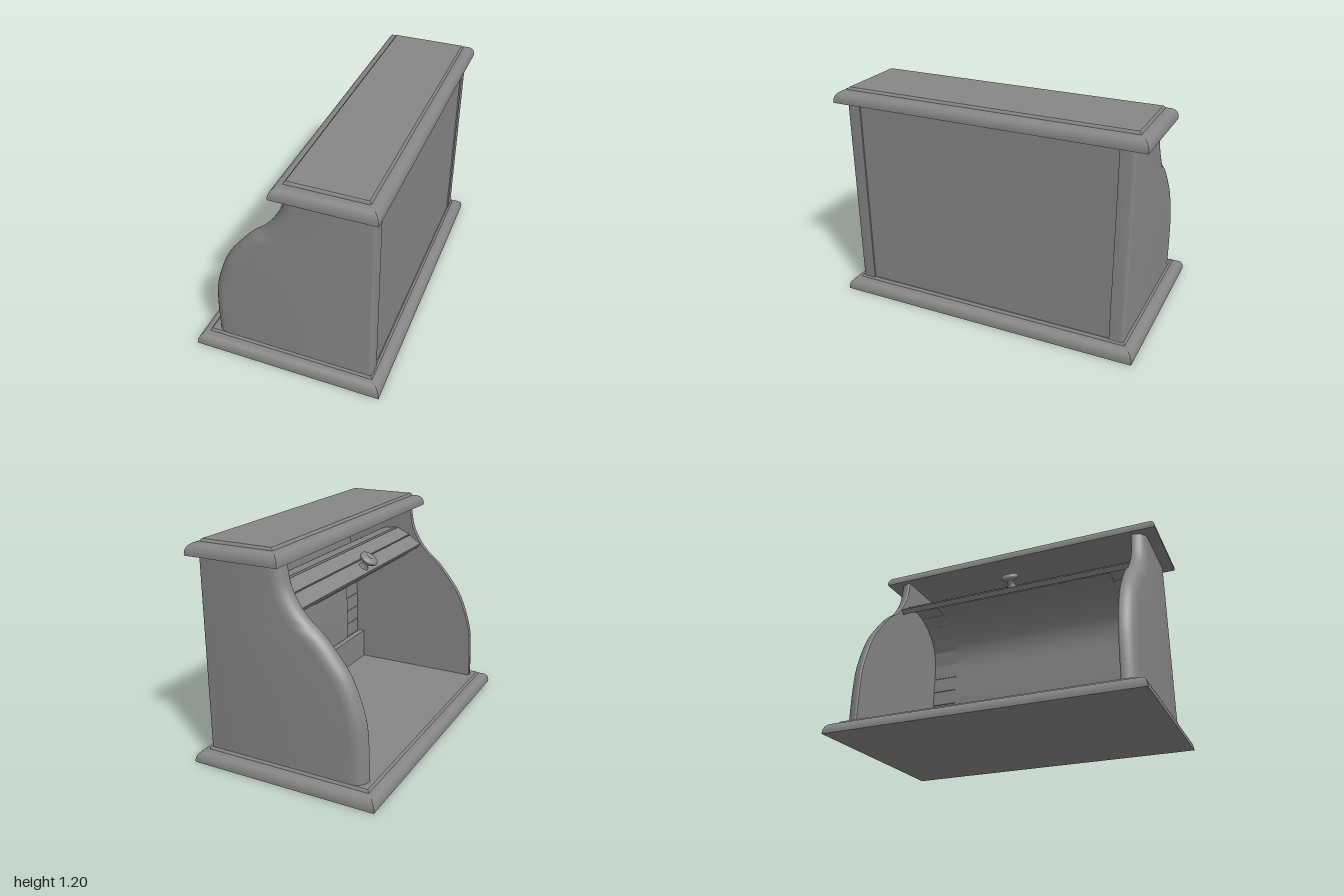
import * as THREE from 'three';
import { toCreasedNormals } from 'three/addons/utils/BufferGeometryUtils.js';

const material = new THREE.MeshStandardMaterial({ color: 0x868686 });
const cloth = new THREE.MeshStandardMaterial({ color: 0x868686, side: THREE.DoubleSide });

function addMesh(parent, name, geometry, x = 0, y = 0, z = 0, mat = material) {
  const mesh = new THREE.Mesh(geometry, mat);
  mesh.name = name;
  mesh.position.set(x, y, z);
  parent.add(mesh);
  return mesh;
}

// Points on a curve through [z, y] pairs
const curveZY = (points) => new THREE.CatmullRomCurve3(
  points.map(([z, y]) => new THREE.Vector3(0, y, z)));

// Closed solid from convex rings of [x, y, z], stacked upward, counterclockwise from above
function loft(rings) {
  const n = rings[0].length, index = [];
  const last = (rings.length - 1) * n;
  for (let r = 0; r < rings.length - 1; r++) {
    for (let i = 0; i < n; i++) {
      const a = r * n + i, b = r * n + (i + 1) % n;
      index.push(a, b, b + n, a, b + n, a + n);
    }
  }
  for (let i = 1; i < n - 1; i++) {
    index.push(0, i + 1, i, last, last + i, last + i + 1);
  }
  const geometry = new THREE.BufferGeometry();
  geometry.setAttribute('position', new THREE.Float32BufferAttribute(rings.flat(2), 3));
  geometry.setIndex(index);
  return toCreasedNormals(geometry, 0.5);
}

// Board with a quarter-round edge and a small step, mitred at the corners
function mouldedBoard(halfWidth, z0, z1, y0) {
  const edge = [[0, 0]];
  for (let i = 0; i <= 8; i++) {
    const t = (i / 8) * Math.PI / 2;
    edge.push([0.045 * (1 - Math.cos(t)), 0.01 + 0.052 * Math.sin(t)]);
  }
  edge.push([0.055, 0.064], [0.058, 0.072], [0.064, 0.078]);
  return loft(edge.map(([d, h]) => {
    const x = halfWidth - d, y = y0 + h;
    return [[x, y, z1 - d], [x, y, z0 + d], [-x, y, z0 + d], [-x, y, z1 - d]];
  }));
}

// Side wall: straight back, S-curved opening edge rounded over towards the outside
const sideCurve = curveZY([
  [-0.435, 0.07], [-0.432, 0.25], [-0.417, 0.4], [-0.345, 0.6], [-0.275, 0.7], [-0.188, 0.8],
  [-0.127, 0.85], [-0.075, 0.91], [-0.025, 1.0], [0.002, 1.13],
]);

function sideWall(sign) {
  const inner = 0.712, outer = 0.79, back = 0.462;
  // Quarter ellipse around a centre, widened in z where the edge slopes
  const corner = (cx, cz, rx, rz, start, steps) => Array.from({ length: steps + 1 }, (_, i) => {
    const t = start + (i / steps) * Math.PI / 2;
    return [cx + rx * Math.cos(t), cz - rz * Math.sin(t)];
  });
  const rings = [];
  for (let k = 0; k <= 40; k++) {
    const p = sideCurve.getPoint(k / 40);
    const rz = 0.07 / sideCurve.getTangent(k / 40).y;
    const ring = [
      [inner, back],
      ...corner(outer - 0.018, back - 0.018, 0.018, 0.018, -Math.PI / 2, 4),
      ...corner(outer - 0.07, p.z + rz, 0.07, rz, 0, 8),
      [inner, p.z + 0.004],
    ].map(([x, z]) => [sign * x, p.y, z]);
    rings.push(sign > 0 ? ring : ring.reverse());
  }
  return loft(rings);
}

// Track the slatted shutter follows when rolled back: up, over an arch, down the rear
const track = curveZY([
  [-0.064, 0.889], [-0.012, 0.923], [0.045, 0.958], [0.095, 0.975], [0.155, 0.97],
  [0.255, 0.925], [0.342, 0.845], [0.385, 0.735], [0.385, 0.45], [0.385, 0.16],
]);

// Puts an object on the track, its +z side towards the inside
function placeOnTrack(object, u) {
  const t = track.getTangentAt(u);
  object.position.copy(track.getPointAt(u));
  object.rotation.x = Math.atan2(t.z, t.y);
}

function rollShutter() {
  const shutter = new THREE.Group();
  shutter.name = 'rollShutter';

  // Slats, the first one carrying the knob
  const count = Math.round(track.getLength() / 0.09);
  const pitch = track.getLength() / count;
  const slatGeometry = new THREE.BoxGeometry(1.425, pitch - 0.003, 0.03);
  for (let i = 0; i < count; i++) {
    const slat = addMesh(shutter, 'slat', slatGeometry);
    placeOnTrack(slat, (i + 0.5) / count);
    if (i === 0) {
      const knobProfile = [
        [0.028, 0], [0.02, 0.014], [0.02, 0.034], [0.044, 0.044], [0.053, 0.055], [0.05, 0.065],
        [0.036, 0.073], [0.02, 0.077], [0.015, 0.07], [0, 0.069],
      ].map(([r, y]) => new THREE.Vector2(r, y));
      const knob = addMesh(slat, 'knob', new THREE.LatheGeometry(knobProfile, 32), 0, 0, -0.015);
      knob.rotation.x = -Math.PI / 2;
    }
  }

  // Cloth backing that joins the slats on the inside
  const steps = 60;
  const backing = new THREE.PlaneGeometry(1.112, 1, 1, steps);
  const pos = backing.attributes.position;
  for (let r = 0; r <= steps; r++) {
    const p = track.getPointAt(r / steps), t = track.getTangentAt(r / steps);
    for (let c = 0; c < 2; c++) {
      const i = r * 2 + c;
      pos.setXYZ(i, pos.getX(i), p.y - t.z * 0.021, p.z + t.y * 0.021);
    }
  }
  backing.computeVertexNormals();
  addMesh(shutter, 'clothBacking', backing, 0, 0, 0, cloth);
  return shutter;
}

export function createModel() {
  const model = new THREE.Group();
  model.name = 'rollTopBox';
  const box = new THREE.Group();
  box.name = 'box';
  model.add(box);

  addMesh(box, 'base', mouldedBoard(0.854, -0.523, 0.523, 0));
  addMesh(box, 'top', mouldedBoard(0.854, -0.03, 0.492, 1.124));
  addMesh(box, 'leftSide', sideWall(1));
  addMesh(box, 'rightSide', sideWall(-1));

  // Back panel, set in slightly between the sides
  addMesh(box, 'backPanel', new THREE.BoxGeometry(1.424, 1.06, 0.03), 0, 0.6, 0.439);

  // Low inner board that hides the end of the shutter
  addMesh(box, 'innerBoard', new THREE.BoxGeometry(1.424, 0.185, 0.037), 0, 0.166, 0.3385);
  box.add(rollShutter());

  // The box stands turned on the ground
  box.rotation.y = THREE.MathUtils.degToRad(35);
  return model;
}
